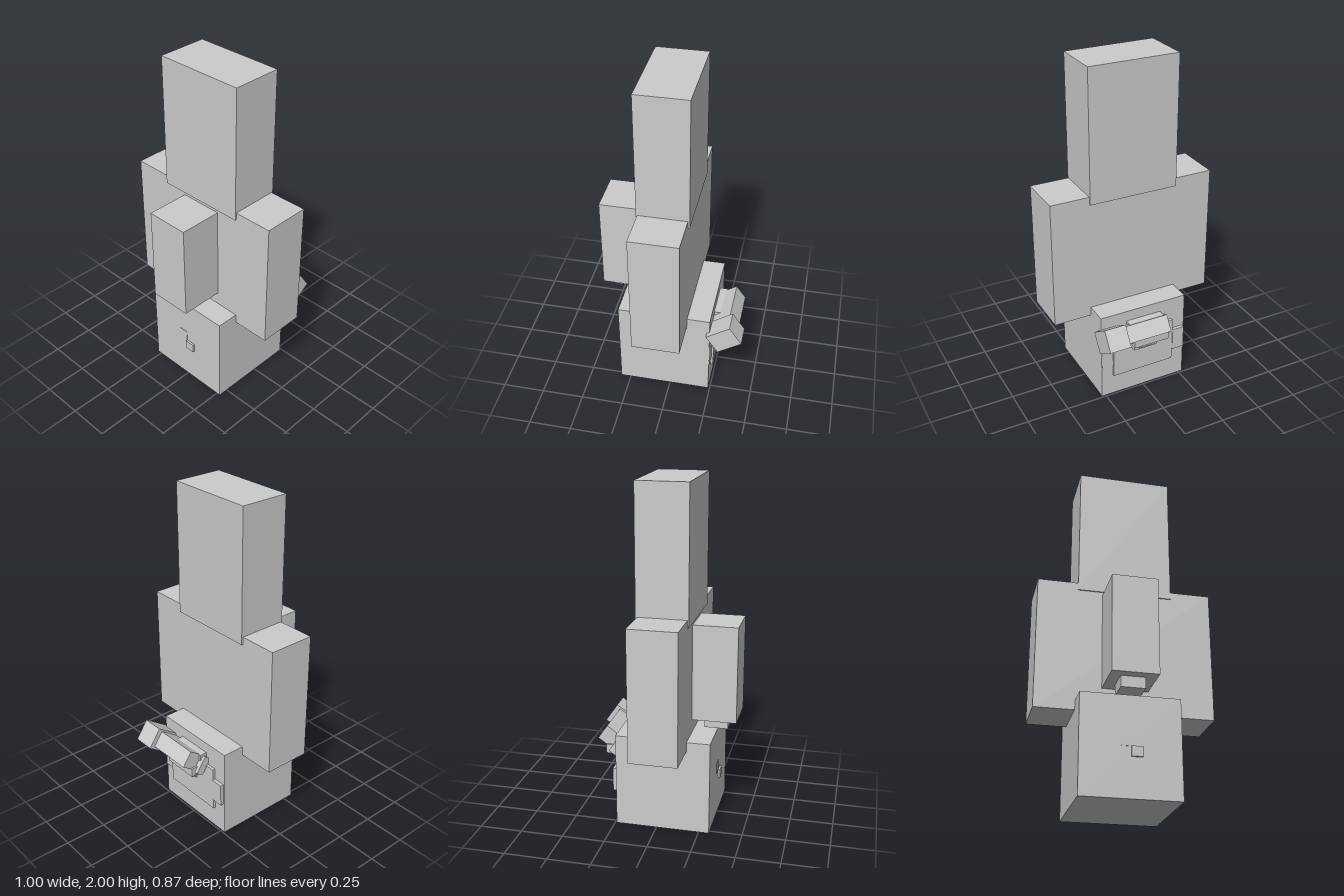
import * as THREE from 'three';

export function createModel() {
  const model = new THREE.Group();
  const mat = new THREE.MeshStandardMaterial({ color: 0xcccccc, flatShading: true });

  // Box given by its limits on each axis
  function box(name, x0, x1, y0, y1, z0, z1) {
    const mesh = new THREE.Mesh(new THREE.BoxGeometry(x1 - x0, y1 - y0, z1 - z0), mat);
    mesh.position.set((x0 + x1) / 2, (y0 + y1) / 2, (z0 + z1) / 2);
    mesh.name = name;
    model.add(mesh);
    return mesh;
  }
  // Box tilted about x
  function tilted(name, x0, x1, y, z, h, d, angle) {
    const mesh = box(name, x0, x1, y - h / 2, y + h / 2, z - d / 2, z + d / 2);
    mesh.rotation.x = angle;
    return mesh;
  }

  // Main blocks
  box('base', -0.275, 0.273, 0, 0.555, -0.24, 0.31);
  box('body', -0.5, 0.5, 0.5, 1.265, -0.105, 0.175);
  box('upperBlock', -0.27, 0.268, 1.22, 2, -0.115, 0.182);
  box('frontBlock', -0.13, 0.128, 0.635, 1.2, 0.17, 0.432);
  box('frontBlockFoot', -0.07, 0.065, 0.572, 0.64, 0.237, 0.375);

  // Small raised tiles on the front of the base
  box('frontTile', 0, 0.06, 0.22, 0.275, 0.305, 0.322);
  box('frontTileUpper', -0.055, 0, 0.275, 0.34, 0.305, 0.313);

  // Raised tiles on the back of the base
  box('backTileLower', -0.19, 0.2, 0.135, 0.205, -0.254, -0.235);
  box('backTileMiddle', -0.19, 0.2, 0.205, 0.345, -0.257, -0.235);
  box('backTileUpper', -0.19, 0.2, 0.345, 0.415, -0.257, -0.235);
  box('backTileRight', -0.265, -0.19, 0.205, 0.345, -0.261, -0.235);
  box('backTileLeft', 0.2, 0.272, 0.205, 0.345, -0.245, -0.235);

  // Stepped mount
  box('mountUpper', -0.11, 0.11, 0.365, 0.42, -0.347, -0.235);
  box('mountLower', -0.06, 0.09, 0.315, 0.37, -0.303, -0.235);
  tilted('mountWedge', -0.04, 0.06, 0.325, -0.262, 0.07, 0.06, -0.8);
  tilted('mountFrame', -0.13, 0.128, 0.42, -0.275, 0.11, 0.05, 0.6);
  box('mountBack', -0.112, 0.11, 0.4, 0.49, -0.285, -0.235);

  // Tilted arm with a larger block on its end
  tilted('arm', -0.098, 0.18, 0.456, -0.318, 0.1, 0.13, 0.6);
  tilted('armEnd', 0.178, 0.308, 0.459, -0.328, 0.13, 0.167, 0.6);

  return model;
}
